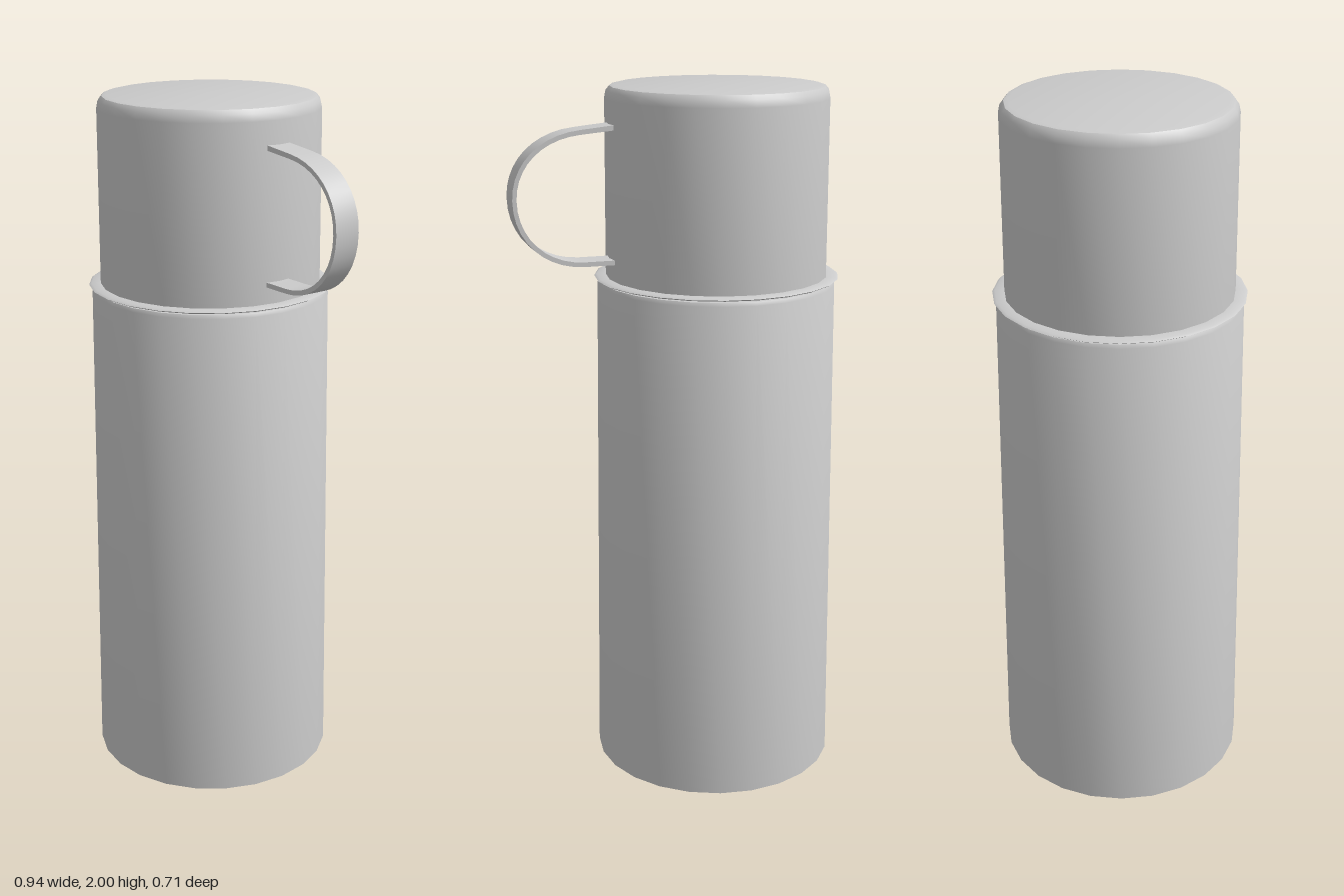
import * as THREE from 'three';
import { toCreasedNormals } from 'three/addons/utils/BufferGeometryUtils.js';

const SIDES = 24;
const AXIS_X = -0.122;

export function createModel() {
  const group = new THREE.Group();
  group.name = 'vacuumFlask';
  const material = new THREE.MeshStandardMaterial({ color: 0xcccccc, side: THREE.DoubleSide });

  const add = (name, geometry, crease = 0.6) => {
    const mesh = new THREE.Mesh(toCreasedNormals(geometry, crease), material);
    mesh.name = name;
    group.add(mesh);
    return mesh;
  };
  // Turned parts share the flask's off-centre axis
  const turned = (name, profile) => {
    const points = profile.map(([r, y]) => new THREE.Vector2(r, y));
    add(name, new THREE.LatheGeometry(points, SIDES)).position.x = AXIS_X;
  };

  // Tapered body with a flat base and shoulder
  turned('body', [[0, 0], [0.353, 0], [0.353, 0.01], [0.338, 1.45], [0.333, 1.46], [0.312, 1.462]]);

  // Thin flared lip between body and cup
  turned('rim', [[0.31, 1.462], [0.34, 1.465], [0.347, 1.469], [0.34, 1.473], [0.31, 1.473]]);

  // Upturned drinking cup with a softened top edge
  turned('cup', [[0.314, 1.465], [0.312, 1.965], [0.308, 1.985], [0.298, 1.997], [0.285, 2], [0, 2]]);

  // Flat strap bent into a D-shaped handle
  const strap = new THREE.Shape();
  strap.moveTo(0.18, 1.902);
  strap.lineTo(0.28, 1.892);
  strap.bezierCurveTo(0.39, 1.882, 0.469, 1.81, 0.469, 1.71);
  strap.bezierCurveTo(0.469, 1.6, 0.385, 1.52, 0.27, 1.52);
  strap.lineTo(0.18, 1.52);
  strap.lineTo(0.18, 1.533);
  strap.lineTo(0.27, 1.533);
  strap.bezierCurveTo(0.377, 1.533, 0.457, 1.607, 0.457, 1.71);
  strap.bezierCurveTo(0.457, 1.803, 0.383, 1.87, 0.28, 1.879);
  strap.lineTo(0.18, 1.888);
  strap.closePath();
  const handle = new THREE.ExtrudeGeometry(strap, { depth: 0.075, bevelEnabled: false, curveSegments: 10 });
  add('handle', handle.translate(0, 0, -0.0375));

  return group;
}
